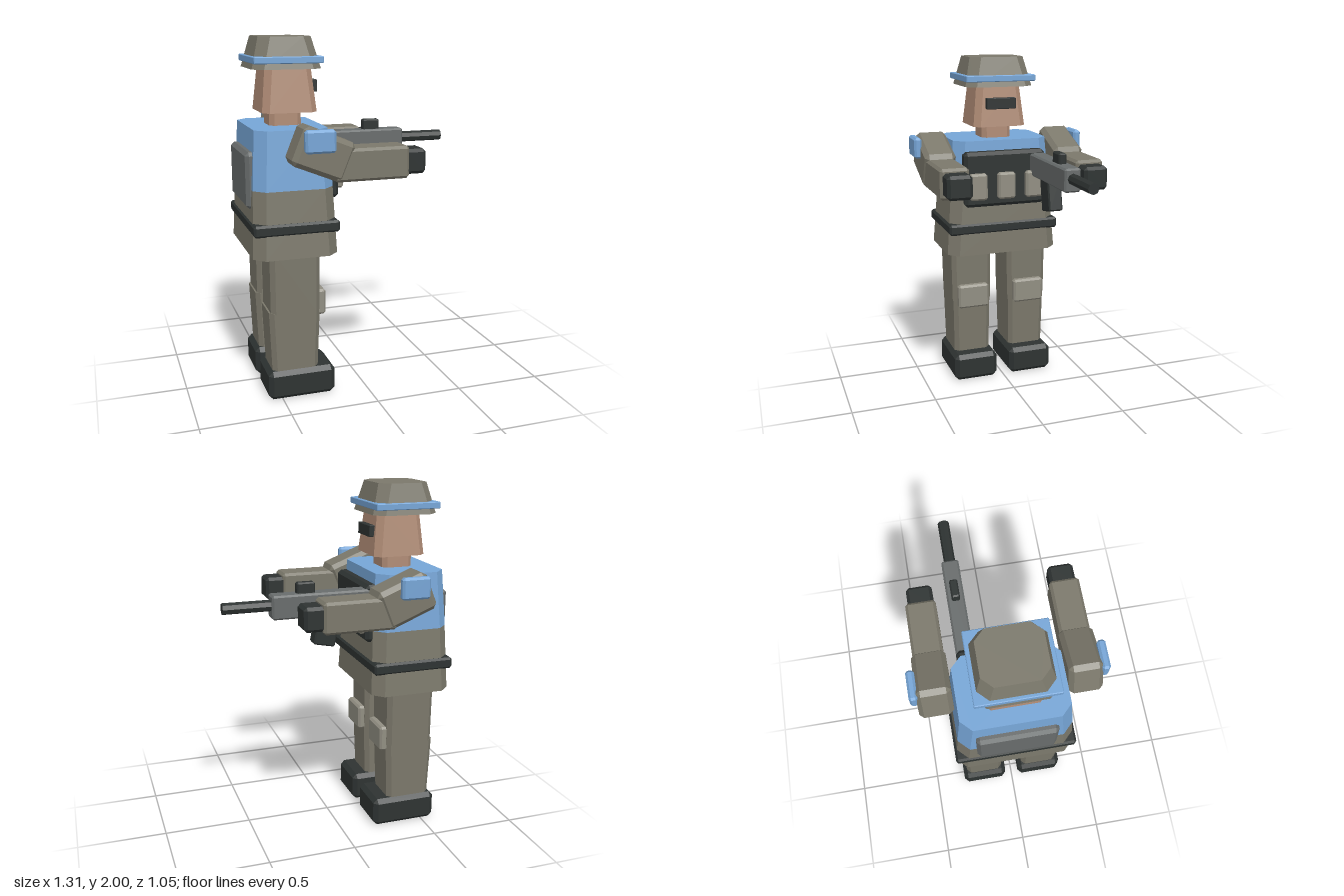
import * as THREE from 'three';
import { ConvexGeometry } from 'three/addons/geometries/ConvexGeometry.js';

const mat = (color) => new THREE.MeshStandardMaterial({ color, flatShading: true });
const OLIVE = mat(0x7b786b), BLUE = mat(0x76a5d6), SKIN = mat(0xb08c76);
const DARK = mat(0x2e3332), GREY = mat(0x686c6c), POUCH = mat(0x918e82);
const SIGNS = [-1, 1];

// box with every edge chamfered by c
function chamferBox(sx, sy, sz, c) {
  const points = [];
  const [x, y, z] = [sx / 2, sy / 2, sz / 2];
  for (const i of SIGNS) for (const j of SIGNS) for (const k of SIGNS) {
    points.push(
      new THREE.Vector3(i * x, j * (y - c), k * (z - c)),
      new THREE.Vector3(i * (x - c), j * y, k * (z - c)),
      new THREE.Vector3(i * (x - c), j * (y - c), k * z));
  }
  return new ConvexGeometry(points);
}

// upright tapered block with cut corners; each ring is [y, half x, half z]
function taperedBlock(bottom, top, c) {
  const points = [];
  for (const [y, x, z] of [bottom, top])
    for (const i of SIGNS) for (const k of SIGNS)
      points.push(new THREE.Vector3(i * x, y, k * (z - c)), new THREE.Vector3(i * (x - c), y, k * z));
  return new ConvexGeometry(points);
}

export function createModel() {
  const model = new THREE.Group();
  model.name = 'soldier';

  const add = (parent, name, geometry, material, x = 0, y = 0, z = 0) => {
    const mesh = new THREE.Mesh(geometry, material);
    mesh.name = name;
    mesh.position.set(x, y, z);
    parent.add(mesh);
    return mesh;
  };
  // chamfered box given by its min/max on each axis
  const block = (parent, name, material, [x0, x1], [y0, y1], [z0, z1], c = 0.012) =>
    add(parent, name, chamferBox(x1 - x0, y1 - y0, z1 - z0, c), material,
      (x0 + x1) / 2, (y0 + y1) / 2, (z0 + z1) / 2);
  const group = (name) => {
    const g = new THREE.Group();
    g.name = name;
    model.add(g);
    return g;
  };

  // torso
  const torso = group('torso');
  const cx = -0.408;
  add(torso, 'hips', taperedBlock([0.83, 0.237, 0.345], [1.2, 0.222, 0.315], 0.06), OLIVE, cx);
  add(torso, 'vest', taperedBlock([1.2, 0.222, 0.317], [1.52, 0.203, 0.29], 0.06), BLUE, cx);
  block(torso, 'belt', DARK, [-0.646, -0.168], [0.96, 1.025], [-0.343, 0.343]);
  block(torso, 'backPack', GREY, [-0.657, -0.59], [1.09, 1.4], [-0.22, 0.22], 0.02);
  block(torso, 'chestPlate', DARK, [-0.23, -0.147], [1.13, 1.46], [-0.252, 0.252], 0.02);
  for (const z of [-0.174, 0, 0.174])
    block(torso, 'pouch', POUCH, [-0.16, -0.113], [1.178, 1.337], [z - 0.054, z + 0.054]);

  // head
  const head = group('head');
  add(head, 'neck', taperedBlock([1.5, 0.09, 0.09], [1.62, 0.09, 0.09], 0.025), SKIN, cx + 0.008);
  add(head, 'face', taperedBlock([1.595, 0.153, 0.16], [1.84, 0.128, 0.133], 0.035), SKIN, -0.388);
  block(head, 'visor', DARK, [-0.26, -0.22], [1.7, 1.765], [-0.09, 0.09], 0.003);
  add(head, 'helmet', taperedBlock([1.83, 0.19, 0.206], [2, 0.145, 0.165], 0.055), OLIVE, -0.406);
  block(head, 'helmetBand', BLUE, [-0.595, -0.216], [1.86, 1.897], [-0.212, 0.212], 0.004);

  for (const side of SIGNS) {
    const label = side > 0 ? 'left' : 'right';
    const span = (a, b) => (side > 0 ? [a, b] : [-b, -a]);

    // legs
    const leg = group(label + 'Leg');
    add(leg, 'thigh', taperedBlock([0.505, 0.14, 0.122], [0.86, 0.142, 0.127], 0.025), OLIVE, -0.413, 0, side * 0.18);
    add(leg, 'shin', taperedBlock([0.165, 0.132, 0.113], [0.51, 0.146, 0.118], 0.025), OLIVE, -0.417, 0, side * 0.18);
    block(leg, 'kneePad', POUCH, [-0.29, -0.235], [0.468, 0.615], span(0.083, 0.277));
    block(leg, 'boot', DARK, [-0.577, -0.193], [0, 0.167], span(0.043, 0.317), 0.025);

    // arms stretched forward
    const arm = group(label + 'Arm');
    const upperArm = block(arm, 'upperArm', OLIVE, [-0.446, -0.146], [1.303, 1.523], span(0.305, 0.49), 0.025);
    upperArm.rotation.z = -0.385;
    block(arm, 'forearm', OLIVE, [-0.24, 0.175], [1.262, 1.437], span(0.315, 0.482), 0.015);
    block(arm, 'glove', DARK, [0.15, 0.277], [1.28, 1.415], span(0.325, 0.468), 0.017);
    block(arm, 'shoulderPatch', BLUE, [-0.408, -0.245], [1.427, 1.547], span(0.48, 0.525));
  }

  // rifle on the right side of the chest
  const rifle = group('rifle');
  const gz = -0.203;
  block(rifle, 'receiver', GREY, [-0.18, 0.39], [1.305, 1.438], [gz - 0.048, gz + 0.048], 0.01);
  const barrel = add(rifle, 'barrel', new THREE.CylinderGeometry(0.032, 0.032, 0.28, 8), DARK, 0.515, 1.38, gz);
  barrel.rotation.z = -Math.PI / 2;
  block(rifle, 'sight', DARK, [0.142, 0.245], [1.43, 1.497], [gz - 0.023, gz + 0.023], 0.008);
  const magazine = block(rifle, 'magazine', DARK, [0.015, 0.14], [1.135, 1.335], [gz - 0.042, gz + 0.042], 0.008);
  magazine.rotation.z = 0.2;

  return model;
}
